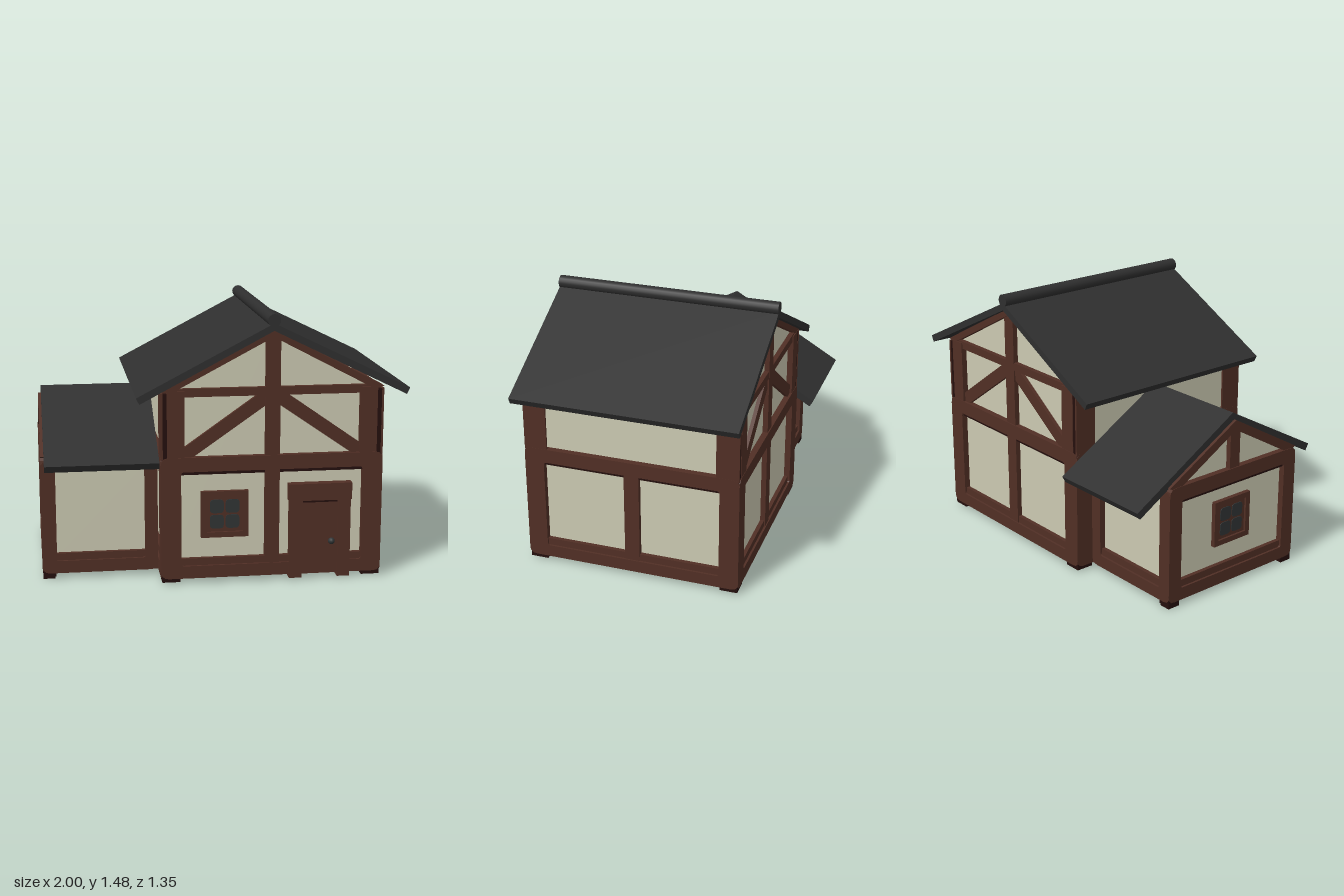
import * as THREE from 'three';

const mat = (name, color) => {
  const m = new THREE.MeshStandardMaterial({ color });
  m.name = name;
  return m;
};

export function createModel() {
  const wood = mat('timber brown', 0x512f25);
  const dark = mat('dark timber', 0x240f0d);
  const plaster = mat('cream plaster', 0xcccab2);
  const slate = mat('roof slate', 0x2f2f2f);
  const glass = mat('dark glass', 0x303435);

  const house = new THREE.Group();
  house.name = 'house';

  const add = (parent, name, geo, m) => {
    const mesh = new THREE.Mesh(geo, m);
    mesh.name = name;
    parent.add(mesh);
    return mesh;
  };
  // Box given by its limits on each axis
  const box = (parent, name, m, x0, x1, y0, y1, z0, z1) => {
    const mesh = add(parent, name, new THREE.BoxGeometry(x1 - x0, y1 - y0, z1 - z0), m);
    mesh.position.set((x0 + x1) / 2, (y0 + y1) / 2, (z0 + z1) / 2);
    return mesh;
  };
  // Flat polygon extruded from z0 to z1
  const slab = (parent, name, m, pts, z0, z1) => {
    const shape = new THREE.Shape(pts.map(p => new THREE.Vector2(p[0], p[1])));
    const geo = new THREE.ExtrudeGeometry(shape, { depth: z1 - z0, bevelEnabled: false });
    geo.translate(0, 0, z0);
    return add(parent, name, geo, m);
  };
  const trace = (path, x0, x1, y0, y1, r) => {
    path.moveTo(x0 + r, y0);
    path.lineTo(x1 - r, y0);
    path.quadraticCurveTo(x1, y0, x1, y0 + r);
    path.lineTo(x1, y1 - r);
    path.quadraticCurveTo(x1, y1, x1 - r, y1);
    path.lineTo(x0 + r, y1);
    path.quadraticCurveTo(x0, y1, x0, y1 - r);
    path.lineTo(x0, y0 + r);
    path.quadraticCurveTo(x0, y0, x0 + r, y0);
    return path;
  };
  // Timber frame with rounded corners around one wall panel
  const frame = (parent, half, y0, y1, hx, hy0, hy1) => {
    const shape = trace(new THREE.Shape(), -half, half, y0, y1, 0.04);
    shape.holes.push(trace(new THREE.Path(), -hx, hx, hy0, hy1, 0.015));
    const geo = new THREE.ExtrudeGeometry(shape, { depth: 0.08, bevelEnabled: false, curveSegments: 3 });
    geo.translate(0, 0, -0.08);
    add(parent, 'wallFrame', geo, wood);
    box(parent, 'sillLip', wood, -hx, hx, hy0, hy0 + 0.04, -0.07, -0.012);
    box(parent, 'headLip', dark, -hx, hx, hy1 - 0.018, hy1, -0.07, -0.012);
  };
  // Each wall is drawn with its outer face on local z = 0
  const wall = (name, x, z, turn) => {
    const g = new THREE.Group();
    g.name = name;
    g.position.set(x, 0, z);
    g.rotation.y = turn;
    house.add(g);
    return g;
  };
  const windowUnit = (parent, x, y) => {
    const g = new THREE.Group();
    g.name = 'window';
    g.position.set(x, y, 0);
    parent.add(g);
    box(g, 'windowBoard', wood, -0.13, 0.13, -0.13, 0.13, -0.07, -0.022);
    for (const s of [-1, 1]) {
      box(g, 'windowRim', wood, s * 0.115 - 0.015, s * 0.115 + 0.015, -0.13, 0.13, -0.07, -0.01);
      box(g, 'windowRim', wood, -0.1, 0.1, s * 0.115 - 0.015, s * 0.115 + 0.015, -0.07, -0.01);
      for (const t of [-1, 1]) {
        const pane = trace(new THREE.Shape(), s * 0.043 - 0.038, s * 0.043 + 0.038,
          t * 0.043 - 0.038, t * 0.043 + 0.038, 0.02);
        const geo = new THREE.ExtrudeGeometry(pane, { depth: 0.056, bevelEnabled: false, curveSegments: 3 });
        geo.translate(0, 0, -0.074);
        add(g, 'windowPane', geo, glass);
      }
    }
  };

  // Main block: four walls around a square plan
  const H = 0.61, CX = 0.25, CZ = 0.04;
  const mainWall = (name, turn, gable) => {
    const g = wall(name, CX + H * Math.sin(turn), CZ + H * Math.cos(turn), turn);
    frame(g, H, 0.03, 0.71, 0.5, 0.1, 0.63);
    const top = gable ? [[0.58, 1.07], [0, 1.38], [-0.58, 1.07]] : [[0.58, 1.07], [-0.58, 1.07]];
    slab(g, 'plasterPanel', plaster, [[-0.58, 0.06], [0.58, 0.06], ...top], -0.05, -0.035);
    if (!gable) {
      box(g, 'lowerStud', wood, -0.04, 0.045, 0.1, 0.64, -0.07, -0.008);
      box(g, 'topPlate', wood, -0.58, 0.58, 1.03, 1.07, -0.08, -0.008);
      for (const s of [-1, 1]) {
        const a = s * 0.48, b = s * 0.608;
        box(g, 'upperPost', wood, Math.min(a, b), Math.max(a, b), 0.7, 1.065, -0.012, -0.001);
      }
      return g;
    }
    box(g, 'centrePost', wood, -0.04, 0.04, 0.1, 1.375, -0.07, -0.006);
    box(g, 'collarBeam', wood, -0.57, 0.57, 1.04, 1.085, -0.075, -0.008);
    for (const s of [-1, 1]) {
      const a = s * 0.48, b = s * 0.575;
      box(g, 'upperPost', wood, Math.min(a, b), Math.max(a, b), 0.7, 1.075, -0.08, -0.002);
      slab(g, 'brace', wood, [[s * 0.03, 1.045], [s * 0.03, 0.99], [s * 0.44, 0.705], [s * 0.5, 0.705],
        [s * 0.5, 0.75], [s * 0.08, 1.045]], -0.07, -0.014);
      slab(g, 'rafter', wood, [[0, 1.395], [s * 0.61, 1.075], [s * 0.55, 1.065], [0, 1.355]], -0.08, -0.004);
    }
    return g;
  };
  const front = mainWall('frontWall', 0, true);
  mainWall('backWall', Math.PI, true);
  mainWall('leftWall', Math.PI / 2, false);
  mainWall('rightWall', -Math.PI / 2, false);
  for (const s of [-1, 1]) for (const t of [-1, 1]) {
    const x = CX + s * 0.555, z = CZ + t * 0.555;
    box(house, 'cornerPost', dark, x - 0.05, x + 0.05, 0.01, 1.06, z - 0.05, z + 0.05);
  }
  windowUnit(front, -0.26, 0.385);

  // Door with jambs, lintel and knob
  const door = new THREE.Group();
  door.name = 'door';
  door.position.set(0.515, 0, 0.65);
  house.add(door);
  box(door, 'doorPanel', wood, -0.1, 0.1, 0.03, 0.45, -0.07, 0.002);
  box(door, 'doorHeadGap', dark, -0.095, 0.095, 0.438, 0.452, -0.03, 0.006);
  box(door, 'lintel', wood, -0.175, 0.175, 0.45, 0.545, -0.07, 0.015);
  for (const s of [-1, 1])
    box(door, 'jamb', wood, s * 0.135 - 0.035, s * 0.135 + 0.035, 0.01, 0.45, -0.07, 0.01);
  const knob = add(door, 'doorKnob', new THREE.SphereGeometry(0.019, 10, 8), glass);
  knob.position.set(0.065, 0.215, 0.01);

  // Main roof: two slopes and a round ridge
  for (const [e, y] of [[-0.74, 1.045], [0.75, 1.065]]) {
    const s = Math.sign(e);
    const roof = slab(house, 'mainRoofSlope', slate,
      [[0, 1.43], [e, y], [e - s * 0.018, y - 0.035], [0, 1.39]], -0.6, 0.66);
    roof.position.x = CX;
  }
  const ridge = add(house, 'ridgeRoll', new THREE.CylinderGeometry(0.035, 0.035, 1.262, 16), slate);
  ridge.rotation.x = Math.PI / 2;
  ridge.position.set(CX, 1.445, 0.03);

  // Side annex: front, back and gable walls
  const D = 0.465, AX = -0.68, AW = 0.32;
  for (const [name, z, turn] of [['annexFrontWall', D, 0], ['annexBackWall', -D, Math.PI]]) {
    const g = wall(name, AX, z, turn);
    frame(g, AW, 0.03, 0.67, AW - 0.07, 0.1, 0.625);
    box(g, 'plasterPanel', plaster, -AW + 0.03, AW - 0.03, 0.06, 0.66, -0.05, -0.035);
    const s = Math.cos(turn);
    const inner = box(g, 'sillExtension', wood, 0.3, 0.48, 0.03, 0.1, -0.07, -0.005);
    inner.position.x *= s;
    for (const x of [-0.285, 0.445]) {
      const foot = box(g, 'foot', dark, x - 0.033, x + 0.033, 0, 0.03, -0.075, -0.002);
      foot.position.x *= s;
    }
  }
  const gable = wall('annexGableWall', -1, 0, -Math.PI / 2);
  frame(gable, D, 0.03, 0.69, 0.38, 0.1, 0.61);
  slab(gable, 'plasterPanel', plaster,
    [[-0.44, 0.06], [0.44, 0.06], [0.44, 0.68], [0, 0.94], [-0.44, 0.68]], -0.05, -0.035);
  box(gable, 'gablePost', wood, -0.035, 0.035, 0.68, 0.94, -0.07, -0.006);
  for (const s of [-1, 1]) {
    slab(gable, 'gableRafter', wood,
      [[0, 0.96], [s * D, 0.695], [s * 0.41, 0.67], [0, 0.905]], -0.08, -0.003);
    const z = s * (D - 0.04);
    box(house, 'annexCornerPost', dark, -0.996, -0.925, 0.01, 0.66, z - 0.037, z + 0.037);
  }
  windowUnit(gable, 0, 0.385);

  // Annex roof
  for (const [e, y] of [[0.6, 0.67], [-0.66, 0.612]]) {
    const s = Math.sign(e);
    const roof = slab(house, 'annexRoofSlope', slate,
      [[0, 1.0], [e, y], [e - s * 0.02, y - 0.037], [0, 0.955]], 0, 0.62);
    roof.rotation.y = -Math.PI / 2;
    roof.position.set(-0.36, 0, -0.01);
  }
  return house;
}
